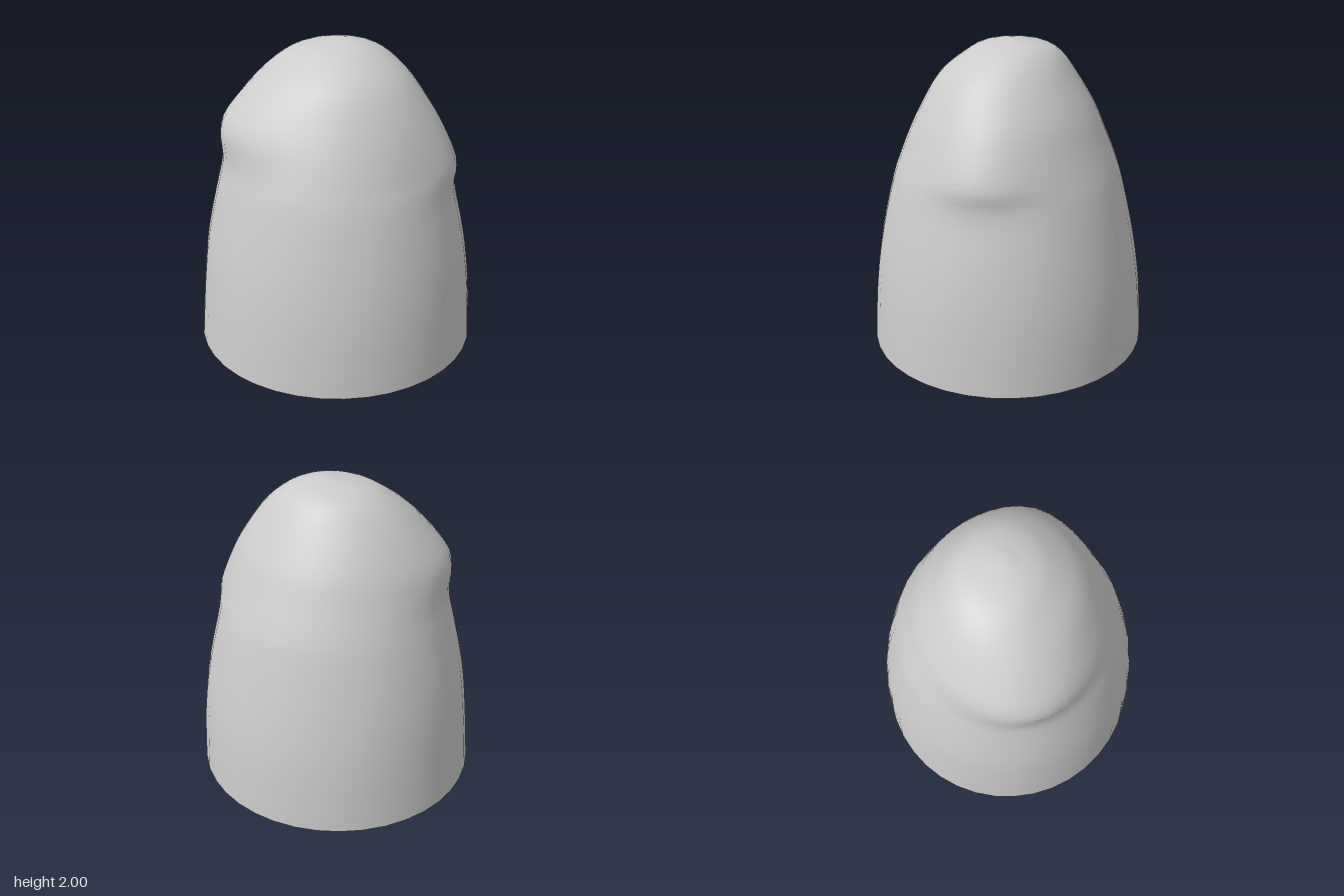
import * as THREE from 'three';

// Cross-sections: height, then extents along -x, +x, +z, -z
const SECTIONS = [
  [0, -0.92, 0.915, 0.9, -0.9],
  [0.4, -0.885, 0.89, 0.872, -0.875],
  [0.75, -0.84, 0.84, 0.82, -0.818],
  [1.1, -0.758, 0.755, 0.74, -0.735],
  [1.25, -0.71, 0.7, 0.69, -0.685],
  [1.4, -0.66, 0.655, 0.628, -0.622],
  [1.57, -0.595, 0.595, 0.545, -0.548],
  [1.77, -0.48, 0.475, 0.425, -0.425],
  [1.9, -0.34, 0.335, 0.27, -0.33],
  [1.965, -0.19, 0.21, 0.15, -0.22],
  [2, 0.05, 0.05, -0.04, -0.04],
];

// Swellings on the shoulders: direction, height, size and spread
const LOBES = [
  { angle: 2.65, y: 1.5, size: 0.1, spread: 0.45, below: 0.13, above: 0.16 },
  { angle: -0.05, y: 1.25, size: 0.075, spread: 0.3, below: 0.07, above: 0.22 },
];

const gauss = (d, s) => Math.exp(-0.5 * (d / s) ** 2);

function swelling(angle, y) {
  let sum = 0;
  for (const l of LOBES) {
    const d = Math.atan2(Math.sin(angle - l.angle), Math.cos(angle - l.angle));
    const dy = y - l.y;
    sum += l.size * gauss(d, l.spread) * gauss(dy, dy < 0 ? l.below : l.above);
  }
  return sum;
}

function shellGeometry(rings, sides) {
  // One smooth profile curve per side, all sharing the same heights
  const curves = [1, 2, 3, 4].map(
    (k) => new THREE.SplineCurve(SECTIONS.map((s) => new THREE.Vector2(s[k], s[0])))
  );
  const positions = [];
  const index = [];
  for (let i = 0; i < rings; i++) {
    const [l, r, f, b] = curves.map((c) => c.getPoint(i / rings));
    for (let j = 0; j < sides; j++) {
      const a = (j / sides) * Math.PI * 2;
      const push = swelling(a, l.y);
      positions.push(
        (l.x + r.x) / 2 + Math.cos(a) * ((r.x - l.x) / 2 + push),
        l.y,
        (f.x + b.x) / 2 + Math.sin(a) * ((f.x - b.x) / 2 + push)
      );
    }
  }
  const apex = rings * sides;
  positions.push(0.05, 2, -0.04);

  for (let i = 0; i < rings; i++) {
    for (let j = 0; j < sides; j++) {
      const a = i * sides + j;
      const b = i * sides + ((j + 1) % sides);
      if (i === rings - 1) index.push(a, apex, b);
      else index.push(a, a + sides, b, b, a + sides, b + sides);
    }
  }
  const geometry = new THREE.BufferGeometry();
  geometry.setAttribute('position', new THREE.Float32BufferAttribute(positions, 3));
  geometry.setIndex(index);
  geometry.computeVertexNormals();
  return geometry;
}

export function createModel() {
  const group = new THREE.Group();
  group.name = 'hollowDome';
  // Thin open-bottomed shell
  const shell = new THREE.Mesh(
    shellGeometry(30, 40),
    new THREE.MeshStandardMaterial({ color: 0xcccccc, side: THREE.DoubleSide })
  );
  shell.name = 'shell';
  group.add(shell);
  return group;
}
